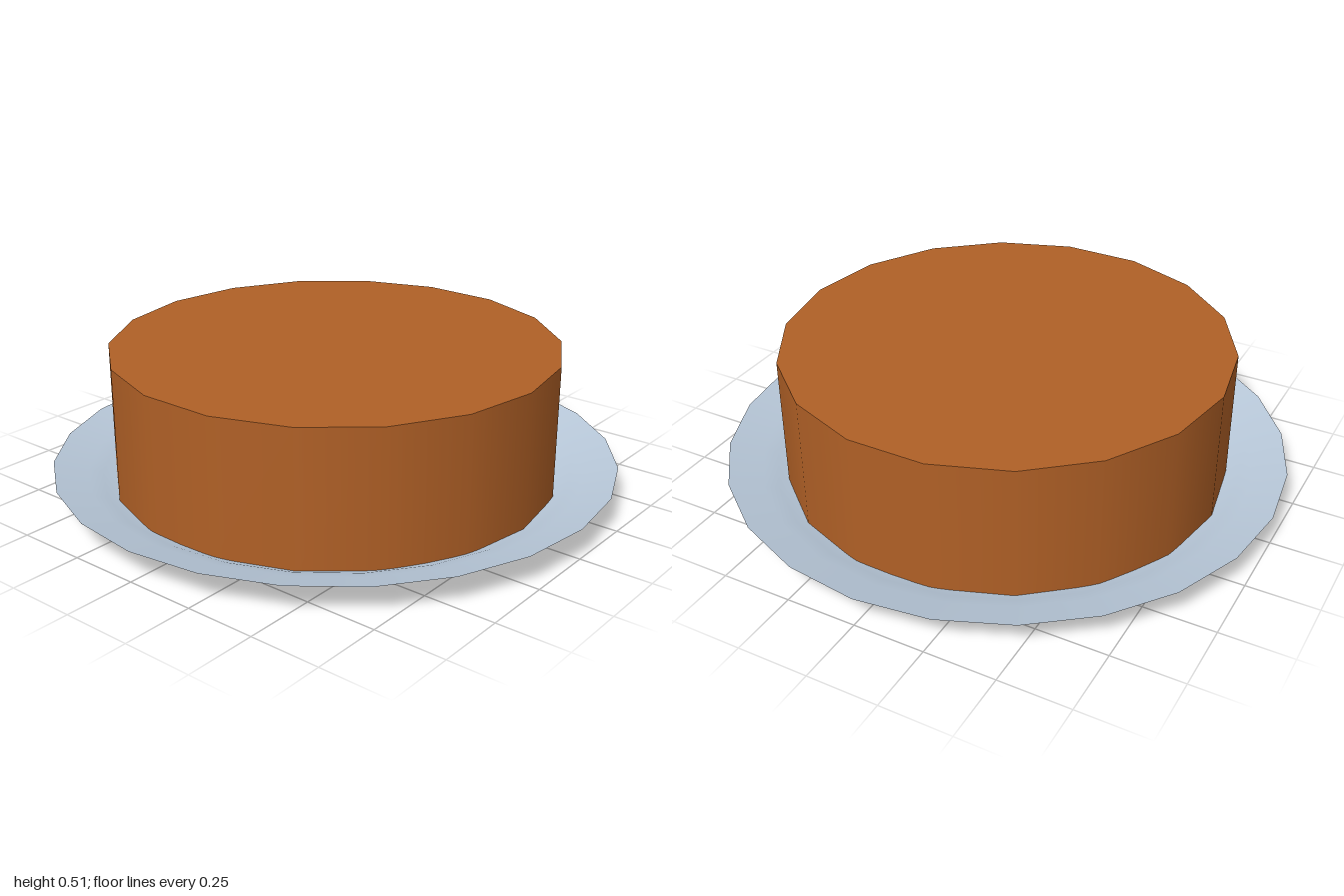
import * as THREE from 'three';

const v = (points) => points.map(([x, y]) => new THREE.Vector2(x, y));

export function createModel() {
  const model = new THREE.Group();
  const sponge = new THREE.MeshStandardMaterial({ name: 'brown cake', color: 0xb06026 });
  const china = new THREE.MeshStandardMaterial({ name: 'pale blue plate', color: 0xb9c9da });

  const add = (name, geometry, material, y = 0, parent = model) => {
    const mesh = new THREE.Mesh(geometry, material);
    mesh.name = name;
    mesh.position.y = y;
    parent.add(mesh);
    return mesh;
  };

  // Cake: an 18-sided smooth drum with corners on the x axis, sunk into the plate
  const bottom = 0.03, top = 0.515;
  add('cake', new THREE.CylinderGeometry(0.79, 0.79, top - bottom, 18, 1, false, Math.PI / 2),
    sponge, (top + bottom) / 2);

  // Plate: separate lathes keep the rim and the foot edge sharp
  const plate = new THREE.Group();
  plate.name = 'plate';
  model.add(plate);
  const sides = 24;
  add('plateBase', new THREE.LatheGeometry(v([[0, 0], [0.8, 0]]), sides), china, 0, plate);
  add('plateUnderside', new THREE.LatheGeometry(
    v([[0.8, 0], [0.84, 0.018], [0.855, 0.042], [0.9, 0.062], [1, 0.105]]), sides), china, 0, plate);
  add('plateTop', new THREE.LatheGeometry(
    v([[1, 0.105], [0.88, 0.072], [0.83, 0.058], [0.79, 0.04], [0.74, 0.03], [0, 0.03]]), sides), china, 0, plate);

  return model;
}
